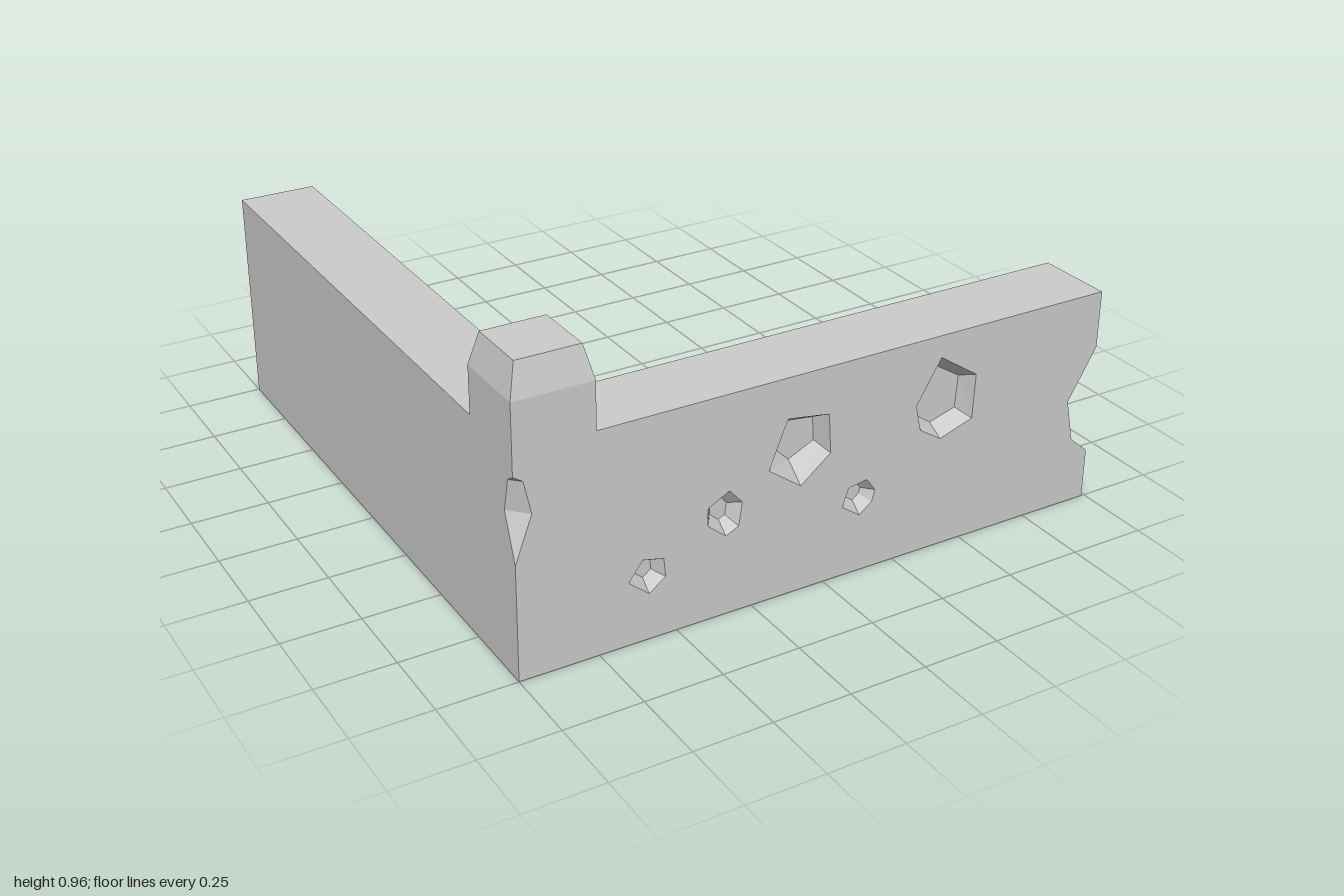
import * as THREE from 'three';

const material = new THREE.MeshStandardMaterial({ color: 0xcccccc, flatShading: true });
const H = 0.71, T = 0.75; // wall height, inner face of both walls

function part(parent, name, geometry) {
  const mesh = new THREE.Mesh(geometry, material);
  mesh.name = name;
  parent.add(mesh);
  return mesh;
}

// Band of faces between two rows of points
function strip(a, b, closed = false) {
  const pos = [];
  const v = (p) => new THREE.Vector3(...p);
  const tri = (p, q, r) => {
    const area = v(q).sub(v(p)).cross(v(r).sub(v(p))).length();
    if (area > 1e-9) pos.push(...p, ...q, ...r);
  };
  const n = a.length;
  for (let i = 0; i < (closed ? n : n - 1); i++) {
    const j = (i + 1) % n;
    tri(a[i], a[j], b[j]);
    tri(a[i], b[j], b[i]);
  }
  const g = new THREE.BufferGeometry();
  g.setAttribute('position', new THREE.Float32BufferAttribute(pos, 3));
  g.computeVertexNormals();
  return g;
}

function face(points, holes = []) {
  const toVec = (pts) => pts.map(([x, y]) => new THREE.Vector2(x, y));
  const shape = new THREE.Shape(toVec(points));
  for (const h of holes) shape.holes.push(new THREE.Path(toVec(h)));
  return new THREE.ShapeGeometry(shape);
}

const atZ = (pts, z) => pts.map(([x, y]) => [x, y, z]);
const atX = (pts, x) => pts.map(([z, y]) => [x, y, z]);

// Craters: counter-clockwise rim, floor outline (or floor scale) and depth
const craters = [
  { rim: [[0.31, 0.5], [0.33, 0.415], [0.405, 0.367], [0.52, 0.405], [0.525, 0.55], [0.392, 0.638]],
    floor: [[0.335, 0.5], [0.35, 0.435], [0.41, 0.393], [0.5, 0.42], [0.507, 0.525], [0.4, 0.592]], depth: 0.06 },
  { rim: [[-0.2, 0.43], [-0.09, 0.35], [0.01, 0.43], [0, 0.558], [-0.14, 0.58]],
    floor: [[-0.143, 0.457], [-0.095, 0.41], [-0.01, 0.45], [-0.016, 0.532], [-0.107, 0.537]], depth: 0.06 },
  { rim: [[-0.655, 0.205], [-0.59, 0.15], [-0.537, 0.19], [-0.543, 0.25], [-0.61, 0.266]], scale: 0.5, depth: 0.04 },
  { rim: [[-0.4, 0.31], [-0.34, 0.26], [-0.298, 0.28], [-0.287, 0.355], [-0.33, 0.404], [-0.4, 0.367]], scale: 0.5, depth: 0.04 },
  { rim: [[0.06, 0.234], [0.122, 0.19], [0.165, 0.223], [0.175, 0.26], [0.144, 0.303], [0.08, 0.293]], scale: 0.5, depth: 0.04 },
];

function floorOf({ rim, floor, scale }) {
  if (floor) return floor;
  const c = [0, 1].map((k) => rim.reduce((s, p) => s + p[k], 0) / rim.length);
  return rim.map((p) => p.map((q, k) => c[k] + (q - c[k]) * scale));
}

export function createModel() {
  const model = new THREE.Group();
  model.name = 'ruinedCornerWall';

  // Broken right end, and the chip on the corner edge seen from both faces
  const brokenEnd = [[0.99, 0], [0.99, 0.165], [0.925, 0.22], [0.895, 0.36], [0.99, 0.525], [0.99, H]];
  const chipFront = [[-1, 0.64], [-0.97, 0.62], [-0.947, 0.515], [-1, 0.37]];
  const chipSide = [[1, 0.64], [0.97, 0.62], [0.945, 0.515], [1, 0.37]];

  // Front wall
  const frontWall = new THREE.Group();
  frontWall.name = 'frontWall';
  model.add(frontWall);
  part(frontWall, 'frontFace', face([[-1, 0], ...brokenEnd, [-1, H], ...chipFront], craters.map((c) => c.rim)))
    .position.z = 1;
  const inner = part(frontWall, 'frontWallBack', face([[-T, 0], ...brokenEnd, [-T, H]]).rotateY(Math.PI).scale(1, 1, 1));
  // turned to face backward, then matched to the front by reversing its outline
  inner.geometry = face([[T, 0], ...brokenEnd.map(([x, y]) => [-x, y]), [T, H]]).rotateY(Math.PI);
  inner.position.z = T;
  const edge = [[-1, 0], ...brokenEnd, [-T, H]];
  part(frontWall, 'frontWallEdges', strip(atZ(edge, T), atZ(edge, 1)));

  // Side wall
  const sideWall = new THREE.Group();
  sideWall.name = 'sideWall';
  model.add(sideWall);
  part(sideWall, 'outerFace', face([[-1, 0], [1, 0], ...[...chipSide].reverse(), [1, H], [-1, H]]).rotateY(-Math.PI / 2))
    .position.x = -1;
  part(sideWall, 'innerFace', strip(atX([[T, 0], [-1, 0]], -T), atX([[T, H], [-1, H]], -T)));
  const ends = [[T, 0], [-1, 0], [-1, H], [T, H]];
  part(sideWall, 'sideWallEdges', strip(atX(ends, -1), atX(ends, -T)));

  // Chipped corner
  part(model, 'cornerChip', strip(atX(chipSide, -1), atZ(chipFront, 1)));

  // Craters in the front face
  craters.forEach((c, i) => {
    const crater = new THREE.Group();
    crater.name = `crater${i + 1}`;
    const bottom = floorOf(c);
    part(crater, 'craterSides', strip(atZ(c.rim, 1), atZ(bottom, 1 - c.depth), true));
    part(crater, 'craterFloor', face(bottom)).position.z = 1 - c.depth;
    model.add(crater);
  });

  // Corner post with tapered cap
  const post = new THREE.Group();
  post.name = 'cornerPost';
  post.position.set(-0.875, 0, 0.875);
  const block = (top, bottom, y0, y1, open) => new THREE.CylinderGeometry(
    top * Math.SQRT2, bottom * Math.SQRT2, y1 - y0, 4, 1, open, Math.PI / 4).translate(0, (y0 + y1) / 2, 0);
  part(post, 'postShaft', block(0.125, 0.125, H, 0.86, true));
  part(post, 'postCap', block(0.1, 0.125, 0.86, 0.963, false));
  model.add(post);

  return model;
}
